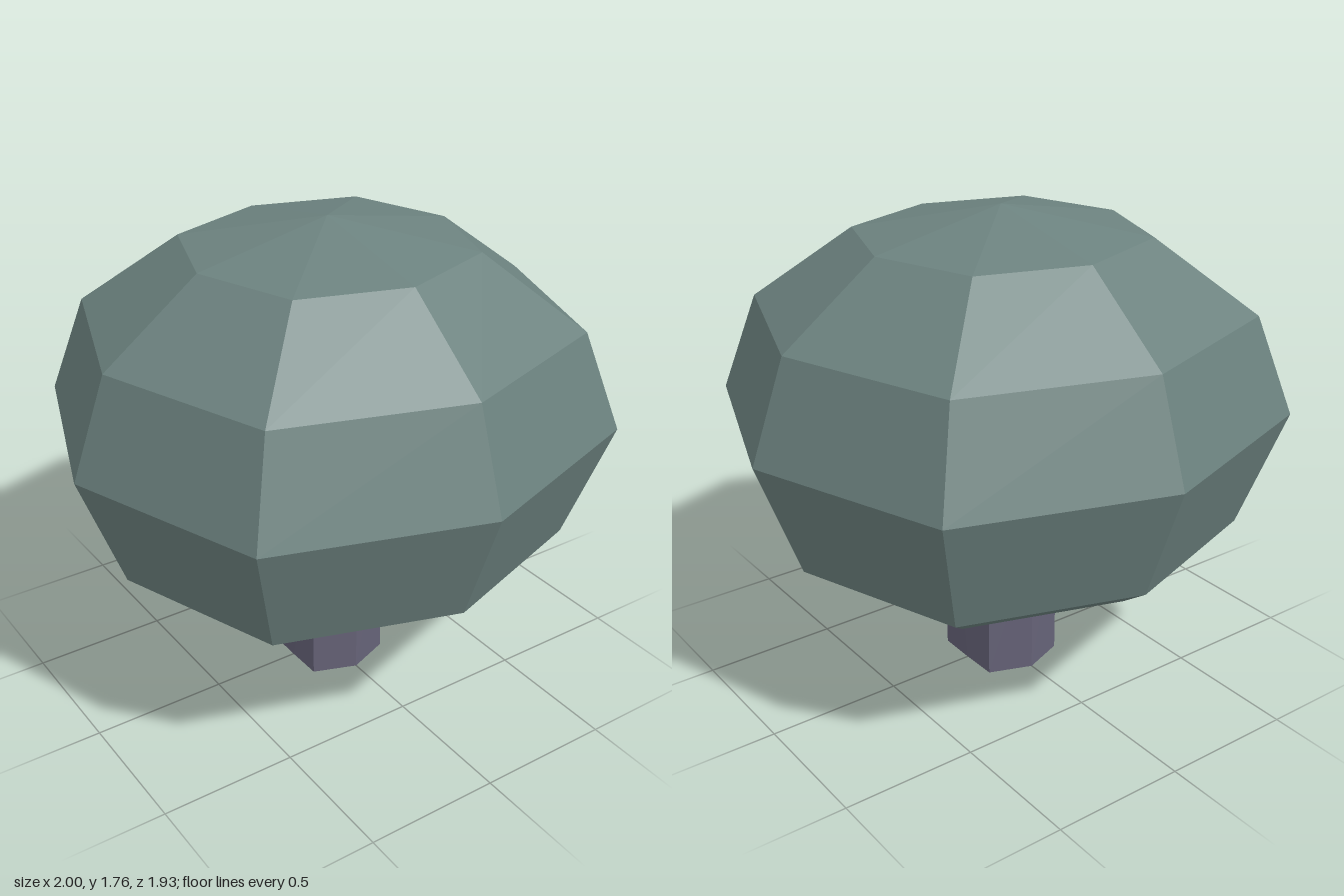
import * as THREE from 'three';

// Skin between eight-cornered rings listed from bottom to top; a zero-size ring closes an end
function loft(rings) {
  const pos = [], idx = [], n = 8;
  for (const ring of rings) for (const p of ring) pos.push(...p);
  for (let i = 0; i < rings.length - 1; i++) {
    for (let j = 0; j < n; j++) {
      const a = i * n + j, b = i * n + (j + 1) % n;
      idx.push(b, a, a + n, b, a + n, b + n);
    }
  }
  const geo = new THREE.BufferGeometry();
  geo.setAttribute('position', new THREE.Float32BufferAttribute(pos, 3));
  geo.setIndex(idx);
  geo.computeVertexNormals();
  return geo;
}

// Ring with corners on the axes (rx, rz) and on the diagonals (dx, dz)
const ring = (y, rx, rz, dx, dz) => [
  [rx, y, 0], [dx, y, dz], [0, y, rz], [-dx, y, dz],
  [-rx, y, 0], [-dx, y, -dz], [0, y, -rz], [dx, y, -dz],
];
const crownRing = ([r, y]) => ring(y, r, r * 0.967, r * 0.745, r * 0.72);

export function createModel() {
  const group = new THREE.Group();
  const leaf = new THREE.MeshStandardMaterial({ color: 0x6c827f, flatShading: true });
  const leafSmooth = new THREE.MeshStandardMaterial({ color: 0x6c827f });
  const bark = new THREE.MeshStandardMaterial({ color: 0x656277, flatShading: true });

  const add = (name, rings, material) => {
    const mesh = new THREE.Mesh(loft(rings), material);
    mesh.name = name;
    group.add(mesh);
  };

  // Faceted dome of foliage
  add('crown', [[0.84, 0.605], [1, 1.04], [0.868, 1.4], [0.51, 1.665], [0, 1.765]].map(crownRing), leaf);
  // Softly shaded bevel around the underside
  add('crownBevel', [[0.73, 0.53], [0.84, 0.605]].map(crownRing), leafSmooth);
  // Flat underside
  add('crownUnderside', [[0, 0.53], [0.73, 0.53]].map(crownRing), leaf);
  // Trunk, with its sides pinched flat at the foot
  add('trunk', [
    ring(0, 0, 0, 0, 0),
    ring(0, 0.16, 0.2, 0.158, 0.14),
    ring(0.53, 0.203, 0.195, 0.158, 0.14),
  ], bark);

  return group;
}
